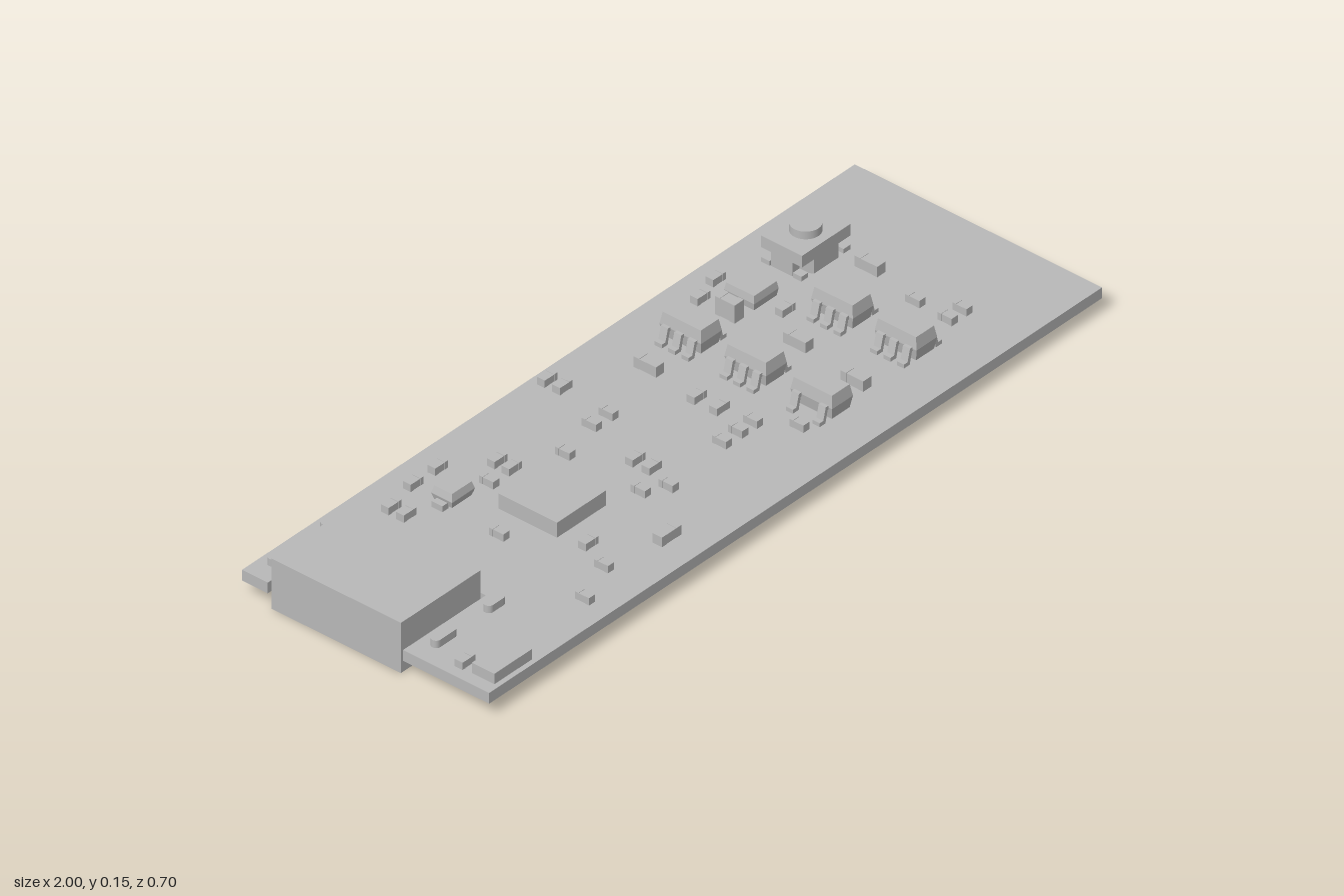
import * as THREE from 'three';

const TOP = 0.063, BOTTOM = 0.035; // circuit board faces

export function createModel() {
  const root = new THREE.Group();
  const grey = new THREE.MeshStandardMaterial({ color: 0xb8b8b8 });
  grey.name = 'plain grey';

  function add(parent, name, geometry, x = 0, y = 0, z = 0) {
    const mesh = new THREE.Mesh(geometry, grey);
    mesh.name = name;
    mesh.position.set(x, y, z);
    parent.add(mesh);
    return mesh;
  }
  // Box given by its base height and top height
  function box(parent, name, x, z, w, d, y0, y1) {
    return add(parent, name, new THREE.BoxGeometry(w, y1 - y0, d), x, (y0 + y1) / 2, z);
  }
  // Moulded body: widest at its middle, drafted towards top and bottom
  function moulded(parent, name, x, z, w, d, y0, y1, draft) {
    const g = new THREE.BoxGeometry(w, y1 - y0, d, 1, 2, 1).toNonIndexed();
    const p = g.attributes.position;
    for (let i = 0; i < p.count; i++) {
      if (Math.abs(p.getY(i)) > 1e-5) {
        p.setX(i, p.getX(i) - Math.sign(p.getX(i)) * draft);
        p.setZ(i, p.getZ(i) - Math.sign(p.getZ(i)) * draft);
      }
    }
    g.computeVertexNormals();
    return add(parent, name, g, x, (y0 + y1) / 2, z);
  }
  // Outline in plan (x, z), extruded upwards
  function slab(parent, name, points, y0, y1) {
    const shape = new THREE.Shape(points.map(([x, z]) => new THREE.Vector2(x, -z)));
    const g = new THREE.ExtrudeGeometry(shape, { depth: y1 - y0, bevelEnabled: false });
    g.rotateX(-Math.PI / 2);
    return add(parent, name, g, 0, y0, 0);
  }

  // Board with a notch for the connector
  slab(root, 'board', [[-1, 0.35], [1, 0.35], [1, -0.35], [-1, -0.35],
    [-1, -0.277], [-0.73, -0.277], [-0.73, 0.106], [-1, 0.106]], BOTTOM, TOP);

  // Connector shell and its rounded mounting tabs
  const connector = new THREE.Group();
  connector.name = 'connector';
  root.add(connector);
  box(connector, 'connectorShell', -0.87, -0.083, 0.26, 0.366, 0, 0.131);
  for (const z of [-0.315, 0.147]) {
    for (const [x, length] of [[-0.915, 0.072], [-0.75, 0.058]]) {
      const tab = new THREE.Shape();
      const r = 0.012, h = length / 2 - r;
      tab.absarc(h, 0, r, -Math.PI / 2, Math.PI / 2);
      tab.absarc(-h, 0, r, Math.PI / 2, Math.PI * 1.5);
      const g = new THREE.ExtrudeGeometry(tab, { depth: 0.064, bevelEnabled: false, curveSegments: 8 });
      g.rotateX(-Math.PI / 2);
      add(connector, 'mountingTab', g, x, 0.018, z);
    }
  }

  // Flat chips
  box(root, 'mainChip', -0.388, -0.002, 0.16, 0.165, TOP, 0.102);
  box(root, 'indicatorBlock', -0.907, 0.305, 0.122, 0.064, TOP, 0.09);
  moulded(root, 'regulatorBody', -0.505, -0.182, 0.074, 0.06, 0.068, 0.104, 0.005);
  for (const s of [-1, 1]) box(root, 'regulatorLead', -0.505 + s * 0.042, -0.182, 0.02, 0.03, TOP, 0.078);
  moulded(root, 'diodeBody', 0.485, -0.196, 0.08, 0.085, TOP, 0.1, 0.003);

  // Gull-wing lead, drawn in profile and extruded along z
  function lead(parent, side, z) {
    const s = new THREE.Shape();
    const pts = [[0.026, 0.104], [0.042, 0.104], [0.05, 0.073], [0.062, 0.073],
      [0.062, TOP], [0.043, TOP], [0.036, 0.094], [0.026, 0.094]];
    s.setFromPoints(pts.map(([x, y]) => new THREE.Vector2(x, y)));
    const g = new THREE.ExtrudeGeometry(s, { depth: 0.02, bevelEnabled: false });
    g.translate(0, 0, -0.01);
    const m = add(parent, 'lead', g, 0, 0, z);
    if (side < 0) m.rotation.y = Math.PI;
  }

  // Small transistors: six-lead, and one with three leads
  const six = [-0.038, 0, 0.038];
  const transistors = [
    [0.273, -0.184, six, six], [0.273, 0, six, six], [0.556, 0, six, six],
    [0.556, 0.18, six, six], [0.273, 0.187, [-0.038, 0.038], [0]],
  ];
  for (const [x, z, left, right] of transistors) {
    const part = new THREE.Group();
    part.name = 'transistor';
    part.position.set(x, 0, z);
    root.add(part);
    moulded(part, 'transistorBody', 0, 0, 0.068, 0.118, 0.07, 0.13, 0.005);
    left.forEach(o => lead(part, -1, o));
    right.forEach(o => lead(part, 1, o));
  }

  // Push button: notched base, cover plate, feet and round cap
  const button = new THREE.Group();
  button.name = 'pushButton';
  root.add(button);
  const bx = 0.675, bz = -0.207;
  slab(button, 'buttonBase', [[-0.078, 0.03], [-0.055, 0.03], [-0.04, 0.058], [0.04, 0.058],
    [0.055, 0.03], [0.078, 0.03], [0.078, -0.03], [0.055, -0.03], [0.04, -0.058],
    [-0.04, -0.058], [-0.055, -0.03], [-0.078, -0.03]].map(([x, z]) => [x + bx, z + bz]), TOP, 0.122);
  box(button, 'buttonCover', bx, bz, 0.158, 0.116, 0.1, 0.13);
  for (const s of [-1, 1]) {
    for (const t of [-1, 1]) box(button, 'buttonFoot', bx + s * 0.069, bz + t * 0.045, 0.022, 0.024, TOP, 0.075);
  }
  add(button, 'buttonCap', new THREE.CylinderGeometry(0.036, 0.036, 0.022, 32), bx, 0.139, bz);

  // Passive part: two end caps with a slightly lower body between
  function passive(x, z, length, width, top, alongX) {
    const part = new THREE.Group();
    part.name = 'passive';
    part.position.set(x, 0, z);
    if (!alongX) part.rotation.y = Math.PI / 2;
    root.add(part);
    const cap = length * 0.25;
    box(part, 'passiveBody', 0, 0, length - 2 * cap, width * 0.94, TOP, top - 0.001);
    for (const s of [-1, 1]) box(part, 'endCap', s * (length - cap) / 2, 0, cap, width, TOP, top);
  }
  const acrossSmall = [
    [-0.62, -0.257], [-0.62, -0.214], [-0.524, -0.278], [-0.444, -0.278], [-0.342, -0.198],
    [-0.342, -0.157], [-0.043, -0.316], [-0.043, -0.273], [0.118, -0.032], [0.118, 0.032],
    [-0.144, 0.021], [-0.144, 0.068], [-0.446, 0.15], [-0.952, 0.24], [0.401, -0.268],
    [0.476, -0.289], [0.487, -0.102],
  ];
  const alongSmall = [
    [-0.412, -0.16], [-0.225, -0.107], [-0.107, -0.134], [-0.053, -0.134], [-0.225, 0.107],
    [-0.171, 0.139], [0.027, 0.118], [0.08, 0.118], [0.128, 0.118], [0.182, 0.203],
    [-0.545, -0.016], [-0.487, 0.23], [-0.604, 0.278], [0.695, 0.086], [0.69, 0.182], [0.738, 0.182],
  ];
  const alongLarge = [[0.134, -0.182], [0.385, 0.187], [0.412, 0], [0.727, -0.07]];
  for (const [x, z] of acrossSmall) passive(x, z, 0.042, 0.022, 0.082, true);
  for (const [x, z] of alongSmall) passive(x, z, 0.04, 0.02, 0.082, false);
  for (const [x, z] of alongLarge) passive(x, z, 0.064, 0.027, 0.09, false);
  passive(-0.316, 0.26, 0.064, 0.027, 0.088, true);
  passive(0.398, -0.183, 0.056, 0.03, 0.11, false);

  return root;
}
